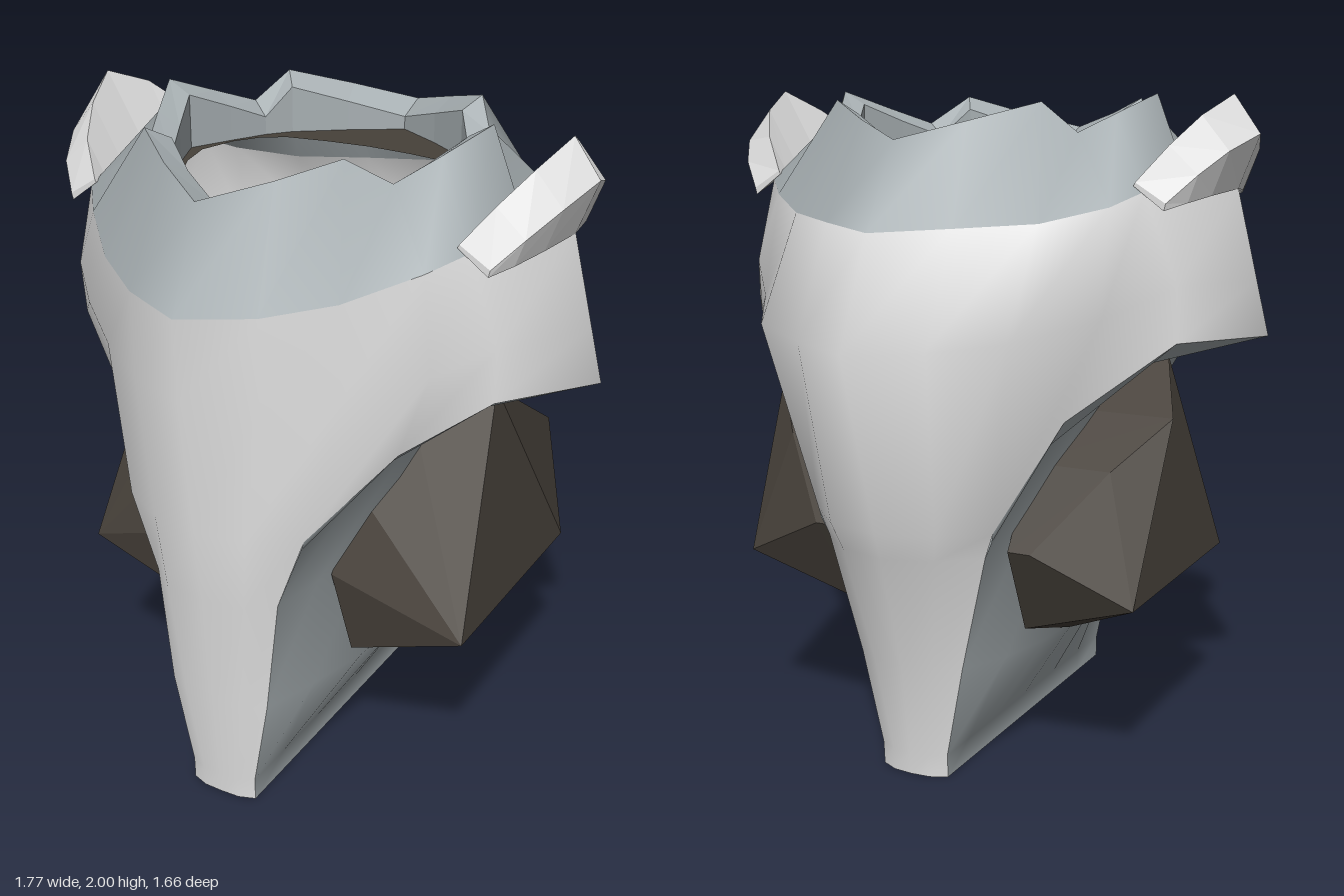
import * as THREE from 'three';
import { mergeGeometries, mergeVertices } from 'three/addons/utils/BufferGeometryUtils.js';

const mat = (name, color) => new THREE.MeshStandardMaterial({ name, color, side: THREE.DoubleSide });
const flip = (p) => [-p[0], p[1], p[2]];
// half outline (front to back on +x) -> closed ring, back strip, mirrored side
const ring = (r) => [...r.map(flip).reverse(), ...r.slice(1)];
const backStrip = (r) => [...r, ...r.slice(0, -1).map(flip).reverse()];
const mirrorRow = (r) => r.map(flip).reverse();

// surface through rows of points; rows go up, columns go right as seen from outside
function grid(rows) {
  const pos = [];
  for (let r = 0; r + 1 < rows.length; r++) {
    for (let c = 0; c + 1 < rows[r].length; c++) {
      const a = rows[r][c], b = rows[r][c + 1], d = rows[r + 1][c + 1], e = rows[r + 1][c];
      pos.push(...a, ...b, ...d, ...a, ...d, ...e);
    }
  }
  return fromPositions(pos);
}
function fromPositions(pos) {
  const g = new THREE.BufferGeometry();
  g.setAttribute('position', new THREE.Float32BufferAttribute(pos, 3));
  g.computeVertexNormals();
  return g;
}
function smooth(...geos) {
  const g = mergeGeometries(geos);
  g.deleteAttribute('normal');
  const m = mergeVertices(g, 1e-4);
  m.computeVertexNormals();
  return m;
}

export function createModel() {
  const group = new THREE.Group();
  const light = mat('light grey', 0xe2e2e2);
  const blue = mat('blue grey', 0xa8b0b3);
  const dark = mat('dark brown', 0x47413a);
  const add = (name, geo, m) => {
    const mesh = new THREE.Mesh(geo, m);
    mesh.name = name;
    group.add(mesh);
  };

  // arch row: top of the side hollows, with the flared flange
  const arch = [[0, 0.95, 0.78], [0.15, 0.95, 0.75], [0.29, 0.95, 0.67], [0.47, 1.17, 0.47],
    [0.685, 1.32, 0.33], [0.885, 1.32, 0.06], [0.7, 1.32, -0.19], [0.45, 1.11, -0.39],
    [0.29, 0.8, -0.51], [0.17, 0.8, -0.63], [0, 0.8, -0.67]];
  const bulge = [[0, 1.36, 0.82], [0.2, 1.36, 0.74], [0.38, 1.38, 0.62], [0.56, 1.42, 0.47],
    [0.69, 1.48, 0.34], [0.845, 1.48, 0.06], [0.7, 1.48, -0.2], [0.55, 1.4, -0.38],
    [0.39, 1.36, -0.63], [0.2, 1.34, -0.73], [0, 1.33, -0.83]];
  const shoulder = [[0, 1.6, 0.83], [0.2, 1.61, 0.74], [0.37, 1.64, 0.62], [0.53, 1.7, 0.46],
    [0.61, 1.74, 0.36], [0.78, 1.74, 0.06], [0.61, 1.74, -0.23], [0.54, 1.7, -0.31],
    [0.39, 1.66, -0.44], [0.2, 1.65, -0.57], [0, 1.64, -0.69]];
  // the collar starts further in than the shoulder where the tabs sit
  const collarBase = shoulder.map((p, i) => (i === 5 ? [0.625, 1.76, 0.06] : p));

  // front and back columns below the arch
  const frontRows = [
    [[0, 0, 0.69], [0.06, 0, 0.688], [0.11, 0, 0.67]],
    [[0, 0.07, 0.695], [0.06, 0.07, 0.692], [0.11, 0.07, 0.672]],
    [[0, 0.36, 0.72], [0.1, 0.36, 0.712], [0.165, 0.36, 0.68]],
    [[0, 0.72, 0.752], [0.13, 0.72, 0.735], [0.205, 0.72, 0.675]],
    arch.slice(0, 3)];
  const backRows = [
    [[0.11, 0, -0.45], [0.06, 0, -0.475], [0, 0, -0.48]],
    [[0.11, 0.07, -0.455], [0.06, 0.07, -0.48], [0, 0.07, -0.488]],
    [[0.17, 0.36, -0.47], [0.1, 0.36, -0.515], [0, 0.36, -0.53]],
    [[0.26, 0.72, -0.5], [0.15, 0.72, -0.6], [0, 0.72, -0.642]],
    arch.slice(8)];
  add('body', smooth(grid([arch, bulge, shoulder].map(ring)),
    grid(frontRows.map(ring)), grid(backRows.map(backStrip))), light);

  // bottom cap
  const base = [...frontRows[0], ...backRows[0]];
  add('base', grid([base.map(flip), base]), light);

  // recessed side panels, rows shared with the column edges
  const zs = [0.5, 0.3, 0.06, -0.14, -0.32];
  const inner = [
    [0.11, 0.11, 0.11, 0.11, 0.11],
    [0.11, 0.11, 0.11, 0.11, 0.11],
    [0.22, 0.27, 0.29, 0.28, 0.24],
    [0.235, 0.28, 0.3, 0.3, 0.28]];
  const panel = inner.map((xs, i) => [frontRows[i][2],
    ...xs.map((x, k) => [x, frontRows[i][2][1], zs[k]]), backRows[i][0]]);
  panel.push([[0.28, 0.92, 0.67], [0.39, 1.1, 0.48], [0.47, 1.21, 0.3], [0.5, 1.27, 0.06],
    [0.47, 1.21, -0.17], [0.39, 1.03, -0.36], [0.283, 0.77, -0.507]], arch.slice(2, 9));
  add('leftPanel', smooth(grid(panel)), blue);
  add('rightPanel', smooth(grid(panel.map(mirrorRow))), blue);

  // notched collar with a thick rim sloping inwards
  const rim = [[0, 1.88, 0.71], [0.17, 1.93, 0.6], [0.31, 1.98, 0.49], [0.39, 1.895, 0.37],
    [0.46, 1.945, 0.22], [0.53, 2, 0.06], [0.46, 1.945, -0.08], [0.4, 1.895, -0.21],
    [0.33, 1.98, -0.3], [0.17, 1.93, -0.43], [0, 1.88, -0.54]];
  const insideXZ = [[0, 0.61], [0.15, 0.52], [0.27, 0.42], [0.335, 0.34], [0.4, 0.2], [0.46, 0.06],
    [0.4, -0.07], [0.345, -0.18], [0.29, -0.25], [0.15, -0.355], [0, -0.45]];
  const rimInside = insideXZ.map(([x, z], i) => [x, rim[i][1] - 0.04, z]);
  const throat = insideXZ.map(([x, z]) => [x, 1.8, z]);
  add('collar', smooth(grid([collarBase, rim].map(ring))), blue);
  add('collarRim', grid([rim, rimInside, throat].map(ring)), blue);

  // dark ring around the opening
  const hole = [[0, 0.55], [0.13, 0.49], [0.26, 0.385], [0.33, 0.3], [0.39, 0.18], [0.42, 0.06],
    [0.39, -0.06], [0.34, -0.14], [0.27, -0.185], [0.14, -0.205], [0, -0.215]]
    .map(([x, z]) => [x, 1.8, z]);
  add('openingRing', grid([throat, hole].map(ring)), dark);

  // arched shoulder tabs: sections blend from a thin end to a tall middle
  const endSec = [[0.58, 1.755], [0.585, 1.765], [0.675, 1.71], [0.67, 1.69]];
  const midSec = [[0.62, 1.76], [0.76, 2], [0.84, 1.89], [0.78, 1.735]];
  const sections = [[0.375, 0], [0.31, 0.4], [0.2, 0.73], [0.06, 1], [-0.09, 0.76], [-0.18, 0.42], [-0.24, 0]]
    .map(([z, k]) => endSec.map((p, i) =>
      [p[0] + (midSec[i][0] - p[0]) * k, p[1] + (midSec[i][1] - p[1]) * k, z]));
  const tabRows = [3, 2, 1, 0, 3].map((i) => sections.map((s) => s[i]));
  const caps = [sections[0], sections[6].slice().reverse()]
    .map((s) => grid([[s[0], s[3]], [s[1], s[2]]]));
  const tab = mergeGeometries([grid(tabRows), ...caps]);

  // faceted stones with a flat inner face reaching through the panels
  const loop = [[0.58, 1.24, 0.07], [0.67, 1.09, -0.12], [0.54, 0.95, -0.27], [0.36, 0.72, -0.42],
    [0.29, 0.45, -0.3], [0.29, 0.35, 0.02], [0.29, 0.45, 0.4], [0.25, 0.72, 0.45],
    [0.31, 0.95, 0.37], [0.42, 1.1, 0.24]];
  const vBack = [0.65, 0.575, -0.35], vFront = [0.65, 0.575, 0.4], core = [0.29, 0.72, 0.02];
  const innerLoop = loop.map((p) => [Math.min(p[0], 0.29), p[1], p[2]]);
  const tris = [loop[0], vFront, vBack, vBack, vFront, loop[5]];
  loop.forEach((p, i) => {
    const j = (i + 1) % loop.length, q = loop[j], pi = innerLoop[i], qi = innerLoop[j];
    tris.push(i < 5 ? vBack : vFront, q, p, p, q, qi, p, qi, pi, core, pi, qi);
  });
  const stone = fromPositions(tris.flat());

  // mirrored copy with the corner order swapped
  const mirrored = (g) => {
    const p = g.getAttribute('position'), out = [];
    for (let i = 0; i < p.count; i += 3) {
      for (const k of [0, 2, 1]) out.push(-p.getX(i + k), p.getY(i + k), p.getZ(i + k));
    }
    return fromPositions(out);
  };
  add('leftTab', tab, light);
  add('rightTab', mirrored(tab), light);
  add('leftStone', stone, dark);
  add('rightStone', mirrored(stone), dark);
  return group;
}
